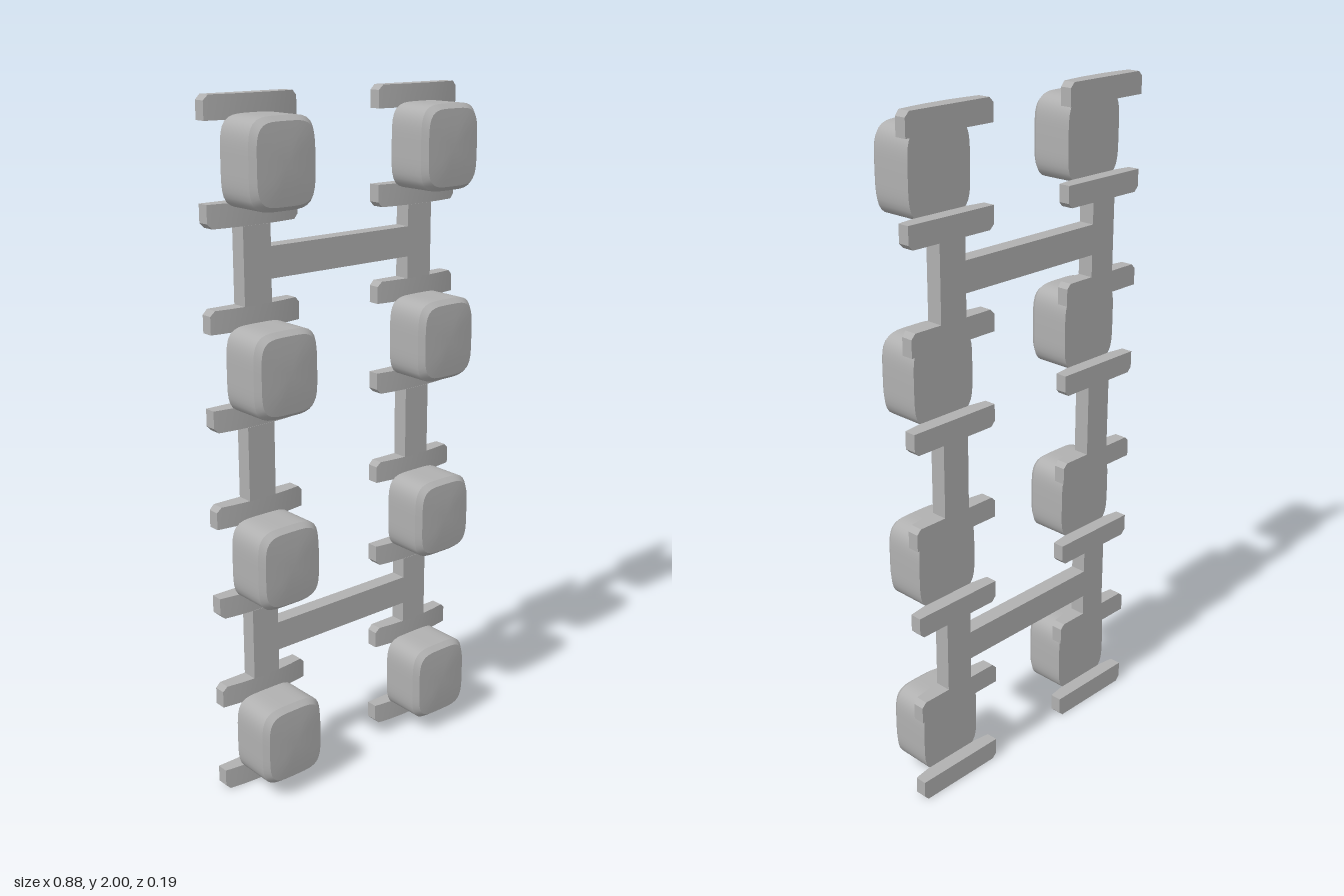
import * as THREE from 'three';
import { toCreasedNormals } from 'three/addons/utils/BufferGeometryUtils.js';

const COLUMN_X = 0.293;
const BACK_Z = -0.096;
const FRONT_Z = -0.047;
const ROWS = [0.169, 0.724, 1.278, 1.831];
const BAR_OFFSET = 0.137;
const BAR_HEIGHT = 0.064;

// Clamp bar: gently curved front, two chamfered corners on the upper side
function barGeometry() {
  const stations = [-0.148, -0.134, -0.09, -0.04, 0.04, 0.09, 0.134, 0.148];
  const n = stations.length - 1;
  const geo = new THREE.BoxGeometry(n, BAR_HEIGHT, 1, n, 1, 1);
  const pos = geo.attributes.position;
  for (let i = 0; i < pos.count; i++) {
    const s = Math.round(pos.getX(i) + n / 2);
    const x = stations[s];
    const end = s === 0 || s === n;
    const y = pos.getY(i) - (end && pos.getY(i) > 0 ? 0.014 : 0);
    const z = pos.getZ(i) > 0 ? FRONT_Z - 0.014 * (x / 0.148) ** 2 : BACK_Z;
    pos.setXYZ(i, x, y, z);
  }
  return toCreasedNormals(geo, 0.3);
}

// Rounded block: squared-oval rings from back to front, bevelled front rim, slight dome
function blockGeometry() {
  const sides = 56;
  const rings = [[-0.053, 0], [0.068, 0], [0.086, 0.013], [0.09, 0.06]];
  const positions = [];
  const index = [];
  for (const [z, inset] of rings) {
    for (let i = 0; i < sides; i++) {
      const a = (i / sides) * Math.PI * 2;
      const c = Math.cos(a), s = Math.sin(a);
      const k = (Math.abs(c) ** 4.4 + Math.abs(s) ** 4.4) ** (-1 / 4.4);
      positions.push((0.106 - inset) * c * k, (0.12 - inset) * s * k, z);
    }
  }
  const backCentre = positions.length / 3;
  positions.push(0, 0, rings[0][0], 0, 0, 0.091);
  const last = (rings.length - 1) * sides;
  for (let i = 0; i < sides; i++) {
    const j = (i + 1) % sides;
    for (let r = 0; r < last; r += sides) {
      index.push(r + i, r + j, r + sides + j, r + i, r + sides + j, r + sides + i);
    }
    index.push(backCentre, j, i, backCentre + 1, last + i, last + j);
  }
  const geo = new THREE.BufferGeometry();
  geo.setAttribute('position', new THREE.Float32BufferAttribute(positions, 3));
  geo.setIndex(index);
  return toCreasedNormals(geo, 0.5);
}

export function createModel() {
  const model = new THREE.Group();
  model.name = 'blockRack';
  const grey = new THREE.MeshStandardMaterial({ color: 0xb0b0b0 });
  grey.name = 'plainGrey';

  const add = (name, geo, x, y, z = 0) => {
    const mesh = new THREE.Mesh(geo, grey);
    mesh.name = name;
    mesh.position.set(x, y, z);
    model.add(mesh);
    return mesh;
  };

  const bar = barGeometry();
  const block = blockGeometry();
  const depth = FRONT_Z - BACK_Z;
  const midZ = (FRONT_Z + BACK_Z) / 2;

  for (const side of [-1, 1]) {
    const x = side * COLUMN_X;
    const label = side > 0 ? 'left' : 'right';
    ROWS.forEach((y, i) => {
      // Block held between an upper and a lower bar
      add(`${label}Block${i + 1}`, block, x, y);
      add(`${label}UpperBar${i + 1}`, bar, x, y + BAR_OFFSET);
      const lower = add(`${label}LowerBar${i + 1}`, bar, x, y - BAR_OFFSET);
      lower.rotation.z = Math.PI;

      // Spine up to the next row
      if (i < ROWS.length - 1) {
        const bottom = y + BAR_OFFSET + BAR_HEIGHT / 2;
        const top = ROWS[i + 1] - BAR_OFFSET - BAR_HEIGHT / 2;
        add(`${label}Spine${i + 1}`, new THREE.BoxGeometry(0.09, top - bottom, depth),
          x, (top + bottom) / 2, midZ);
      }
    });
  }

  // Cross members joining the two spines
  const crossbar = new THREE.BoxGeometry(2 * (COLUMN_X - 0.045), 0.088, depth);
  add('lowerCrossbar', crossbar, 0, 0.447, midZ);
  add('upperCrossbar', crossbar, 0, 1.556, midZ);

  return model;
}
